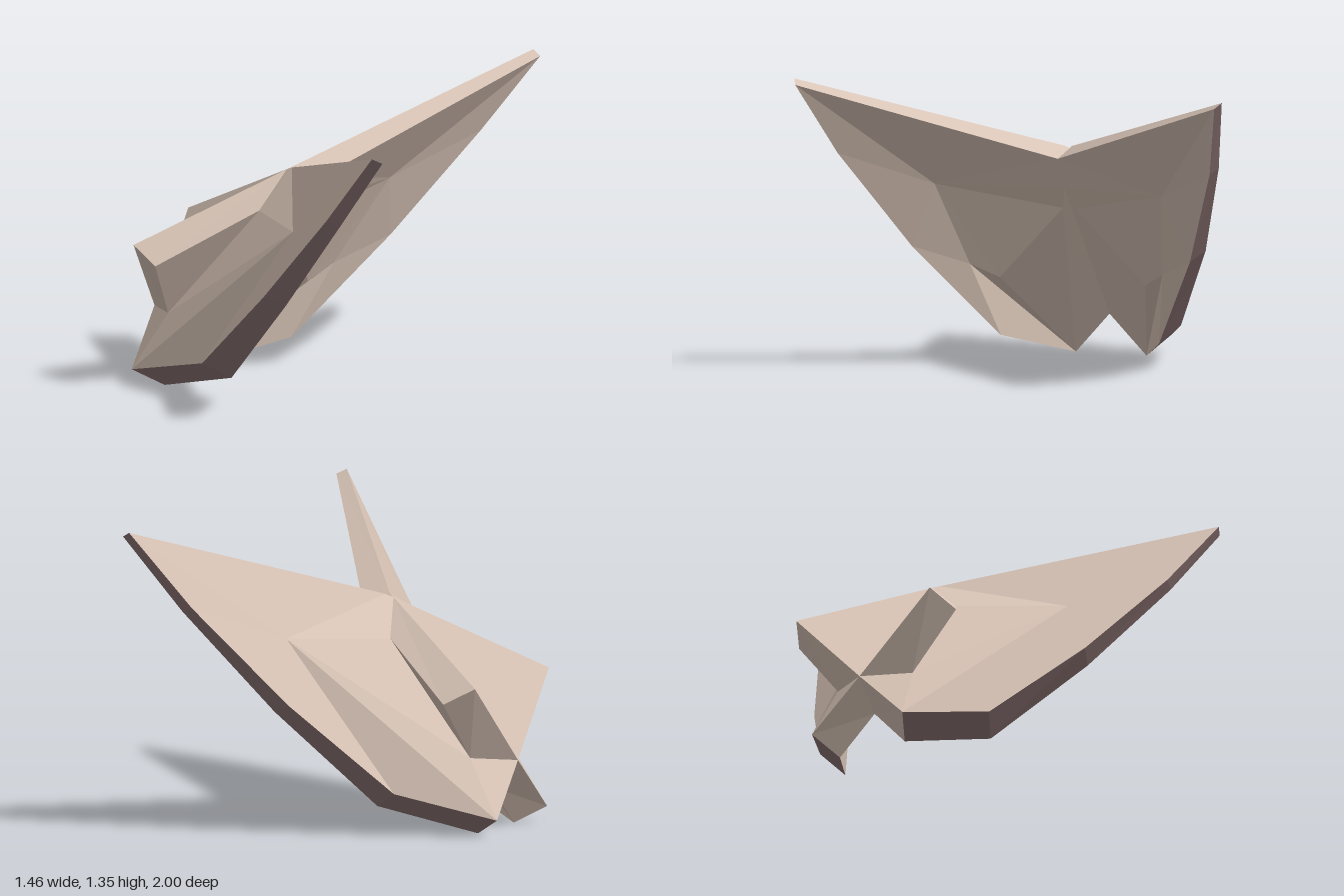
import * as THREE from 'three';

// Corners of the +z half; the other half is mirrored across z = 0
const C = {
  // outer rim of the wing, tip to tail
  P0: [0.685, 1.352, 1.0], P1: [0.43, 1.02, 0.89], P2: [0.06, 0.59, 0.69], P3: [-0.325, 0.19, 0.43], P4: [-0.73, 0.075, 0.23],
  // inner rim of the wing
  Q0: [0.726, 1.33, 0.98], Q1: [0.49, 1.0, 0.87], Q2: [0.15, 0.55, 0.65], Q3: [-0.21, 0.12, 0.37], Q4: [-0.6, 0, 0.165],
  // roots and outer fold
  A: [-0.06, 1.0, 0.02], B: [0.065, 0.96, 0], R: [0.145, 0.86, 0.55], N: [-0.71, 0.31, 0], M: [-0.58, 0.18, 0],
  // hollow of the inner side
  D: [-0.017, 0.82, 0], S: [-0.08, 0.72, 0.03], G: [0.19, 0.84, 0.53], U: [-0.04, 0.455, 0.45], V: [-0.12, 0.39, 0.34],
  // upper fin
  K: [-0.09, 0.985, 0], T1: [-0.68, 0.67, 0.34], T2: [-0.555, 0.6, 0.4], T3: [-0.16, 0.83, 0.16], W: [-0.575, 0.335, 0.19],
};

const OUT = [-0.64, 0.38, 0.35];
const IN = [0.64, -0.34, -0.3];
const RIM = [0.1, -0.5, 0.84];

// Each face: corners (fanned from the first) and the way it looks
const PARTS = {
  wingOuterSkin: ['body', [
    ['R A P0 P1 P2 P3', OUT], ['R P3 P4', [-0.5, 0.2, 1]],
    ['R P4 W T3 A', OUT], ['P4 N W', OUT], ['K A T3', OUT],
  ]],
  wingInnerSkin: ['body', [
    ['G B Q0 Q1 Q2 U V S D B', IN], ['Q2 Q3 U', IN], ['U Q3 Q4', IN],
    ['V U Q4', [1, -1, 0]], ['S V Q4 M D', IN],
  ]],
  wingTopEdge: ['body', [['A P0 Q0 B', [0, 1, 0]], ['K A B', [0, 1, 0]]]],
  wingTailEdge: ['body', [['P4 Q4 M N', [-1, -1, -1]]]],
  wingLowerRim: ['rim', [0, 1, 2, 3].map(i => [`P${i} P${i + 1} Q${i + 1} Q${i}`, RIM])],
  upperFin: ['body', [
    ['K T1 T2 T3', [0, 1, 1]], ['T1 T2 W N', [-1, -1, 1]],
    ['T2 T3 W', [0.64, -0.5, 0.58]], ['K T1 N', [-0.6, 0.6, -0.5]],
  ]],
};

function facets(faces, side) {
  const pos = [];
  const n = new THREE.Vector3();
  for (const [names, hint] of faces) {
    const p = names.split(' ').map(k => new THREE.Vector3(C[k][0], C[k][1], C[k][2] * side));
    const look = new THREE.Vector3(hint[0], hint[1], hint[2] * side);
    for (let i = 1; i < p.length - 1; i++) {
      let [a, b, c] = [p[0], p[i], p[i + 1]];
      n.crossVectors(b.clone().sub(a), c.clone().sub(a));
      if (n.dot(look) < 0) [b, c] = [c, b];
      pos.push(...a.toArray(), ...b.toArray(), ...c.toArray());
    }
  }
  const g = new THREE.BufferGeometry();
  g.setAttribute('position', new THREE.Float32BufferAttribute(pos, 3));
  g.computeVertexNormals();
  return g;
}

export function createModel() {
  const mats = {
    body: new THREE.MeshStandardMaterial({ color: 0xd8c4b6 }),
    rim: new THREE.MeshStandardMaterial({ color: 0x8e7474 }),
  };
  mats.body.name = 'pale clay';
  mats.rim.name = 'dark mauve';

  const model = new THREE.Group();
  model.name = 'wingedShape';
  for (const side of [1, -1]) {
    const half = new THREE.Group();
    half.name = side > 0 ? 'frontWing' : 'backWing';
    for (const [name, [mat, faces]] of Object.entries(PARTS)) {
      const mesh = new THREE.Mesh(facets(faces, side), mats[mat]);
      mesh.name = name;
      half.add(mesh);
    }
    model.add(half);
  }
  return model;
}
